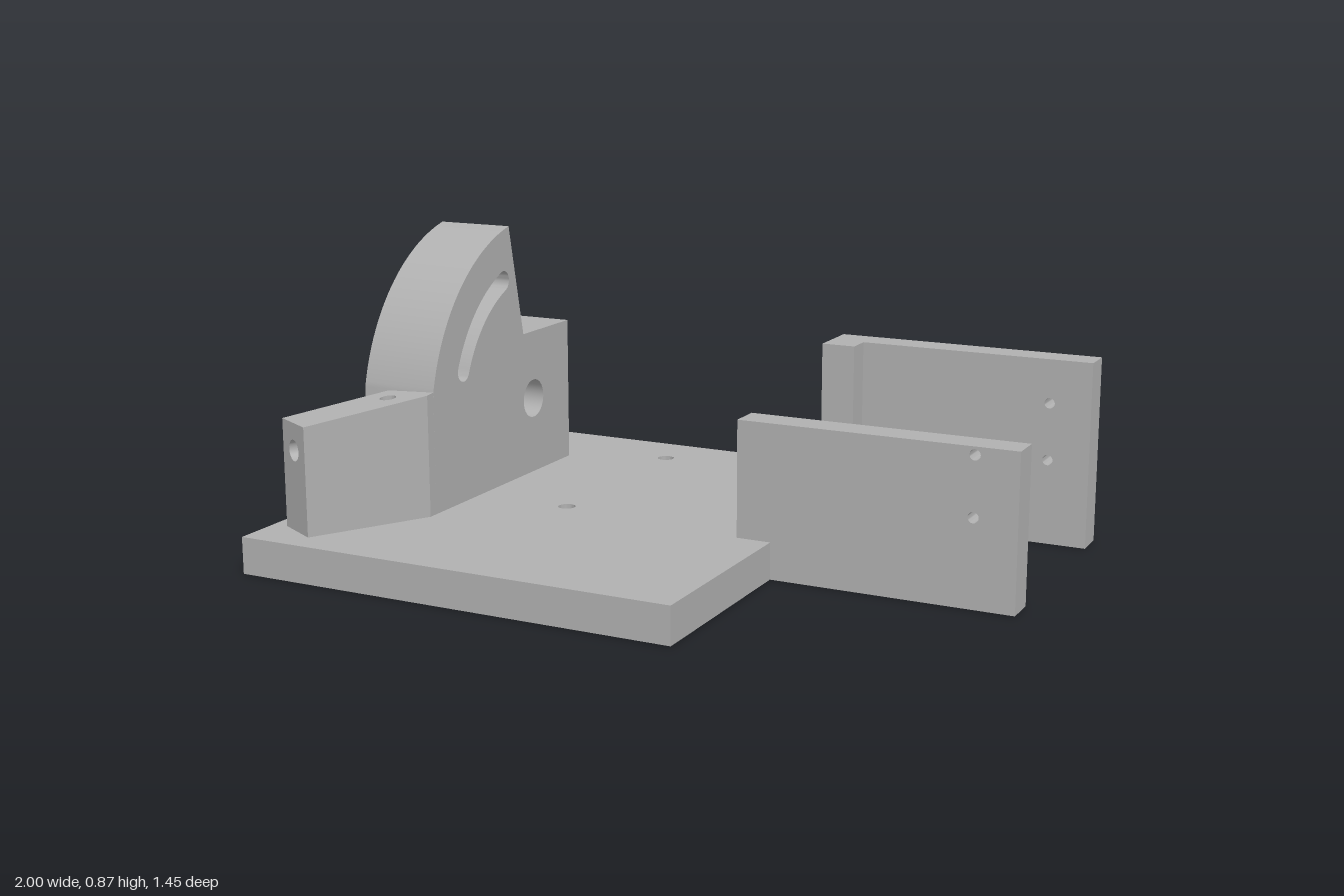
import * as THREE from 'three';
import { mergeGeometries, toCreasedNormals } from 'three/addons/utils/BufferGeometryUtils.js';

const DEG = Math.PI / 180;
const vec = (list) => list.map(([x, y]) => new THREE.Vector2(x, y));

// points along an arc, angles in degrees
function arc(cx, cy, r, from, to, n = 24) {
  return Array.from({ length: n + 1 }, (_, i) => {
    const a = (from + ((to - from) * i) / n) * DEG;
    return [cx + r * Math.cos(a), cy + r * Math.sin(a)];
  });
}
// clockwise circle, so that its wall faces inwards
const circle = (cx, cy, r) => arc(cx, cy, r, 360, 0, 32);

function shapeOf(outline, holes = []) {
  const shape = new THREE.Shape(vec(outline));
  shape.holes = holes.map((h) => new THREE.Path(vec(h)));
  return shape;
}

// flat face with holes
function panel(outline, holes, z = 0, flip = false) {
  const g = new THREE.ShapeGeometry(shapeOf(outline, holes)).translate(0, 0, z);
  if (flip) g.index.array.reverse();
  return g;
}

// wall that follows a path from depth z0 to z1
function wall(path, z0, z1) {
  const pos = [];
  for (let i = 0; i < path.length - 1; i++) {
    const [a, b] = [path[i], path[i + 1]];
    pos.push(...a, z0, ...b, z0, ...b, z1, ...a, z0, ...b, z1, ...a, z1);
  }
  const g = new THREE.BufferGeometry();
  g.setAttribute('position', new THREE.Float32BufferAttribute(pos, 3));
  return g;
}

const prism = (outline, holes, depth) =>
  new THREE.ExtrudeGeometry(shapeOf(outline, holes), { depth, bevelEnabled: false });
const layFlat = (g) => g.rotateX(-Math.PI / 2);
const rect = (x0, y0, x1, y1) => [[x0, y0], [x1, y0], [x1, y1], [x0, y1]];

// join faces into one mesh with sharp edges and smooth curves
function part(name, geometries, material) {
  const plain = geometries.map((g) => {
    const p = g.index ? g.toNonIndexed() : g;
    p.deleteAttribute('uv');
    p.deleteAttribute('normal');
    p.clearGroups();
    return p;
  });
  const mesh = new THREE.Mesh(toCreasedNormals(mergeGeometries(plain), 30 * DEG), material);
  mesh.name = name;
  return mesh;
}

export function createModel() {
  const model = new THREE.Group();
  model.name = 'pivotFixture';
  const grey = new THREE.MeshStandardMaterial({ color: 0xb0b0b0 });
  grey.name = 'plainGrey';
  const baseTop = 0.105;

  // base plate with four screw holes
  const screws = [];
  for (const x of [-0.775, -0.36]) for (const y of [0.56, -0.065]) screws.push(circle(x, y, 0.025));
  model.add(part('basePlate', [layFlat(prism(rect(-1, -0.725, 0.31, 0.728), screws, baseTop))], grey));

  // upright side plates, each with a mounting foot on the base
  const plates = [
    { name: 'backSidePlate', z: -0.62, height: 0.54, footZ: -0.53, footHeight: 0.435 },
    { name: 'frontSidePlate', z: 0.04, height: 0.435, footZ: -0.035, footHeight: 0.087 },
  ];
  for (const p of plates) {
    const outline = [[0.31, 0], [0.997, 0], [0.997, p.height], [0.21, p.height], [0.21, baseTop], [0.31, baseTop]];
    const holes = [circle(0.877, 0.413, 0.015), circle(0.877, 0.247, 0.015)];
    const sheet = prism(outline, holes, 0.092).translate(0, 0, p.z);
    const foot = new THREE.BoxGeometry(0.1, p.footHeight, 0.075);
    foot.translate(0.26, baseTop + p.footHeight / 2, p.footZ + 0.0375);
    model.add(part(p.name, [sheet, foot], grey));
  }

  // sector block: profile seen from its side, local depth 0 to width
  const width = 0.23, cx = 0.243, cy = 0.333;
  const profile = [
    [0.19, 0.54], ...arc(cx, cy, 0.556, 103, 167.5, 40),
    [-0.3, baseTop], [0.455, baseTop], [0.455, 0.54],
  ];
  const slot = [
    ...arc(cx, cy, 0.445, 112.5, 158),
    ...arc(cx + 0.415 * Math.cos(158 * DEG), cy + 0.415 * Math.sin(158 * DEG), 0.03, 158, 338, 12),
    ...arc(cx, cy, 0.385, 158, 112.5),
    ...arc(cx + 0.415 * Math.cos(112.5 * DEG), cy + 0.415 * Math.sin(112.5 * DEG), 0.03, -67.5, 112.5, 12),
  ].reverse();
  const bore = circle(cx, cy, 0.058);
  const setScrew = circle(cx, -0.115, 0.024);
  const block = part('sectorBlock', [
    wall(profile, 0, width),
    panel(profile, [bore], 0, true),
    panel(profile, [bore, slot], width),
    wall(bore, 0, width),
    wall(slot, 0.11, width),
    panel(slot, [], 0.11),
    layFlat(panel(rect(0.19, -width, 0.455, 0), [setScrew], 0.54)),
    layFlat(wall(setScrew, cy + 0.052, 0.54)),
  ], grey);
  block.rotation.y = Math.PI / 2;
  block.position.x = -0.88;
  model.add(block);

  // angled arm: footprint from above, with a top that falls towards its end
  const footprint = [[-0.835, -0.65], [-0.65, -0.33], [-0.65, -0.3], [-0.8, -0.3], [-0.955, -0.585]];
  const pin = circle(-0.757, -0.366, 0.023);
  const endHeight = 0.413;
  const slopeTop = (g) => {
    const p = g.attributes.position;
    for (let i = 0; i < p.count; i++) {
      if (p.getY(i) < 0.4) continue;
      const along = (p.getX(i) + 0.895) * 0.476 - (p.getZ(i) - 0.6175) * 0.88;
      p.setY(i, endHeight + 0.113 * along);
    }
    return g;
  };
  const armFaces = [
    wall(footprint, baseTop, endHeight),
    panel(footprint, [pin], endHeight),
    wall(pin, 0.32, endHeight),
  ].map((g) => slopeTop(layFlat(g)));

  // end face of the arm and the bore running along it
  const half = Math.hypot(0.12, 0.065) / 2;
  const armBore = circle(0, 0.335, 0.03);
  const endFaces = [
    panel(rect(-half, baseTop, half, endHeight), [armBore]),
    wall(armBore, -0.33, 0),
    panel(armBore, [], -0.33),
  ].map((g) => g.rotateY(-Math.atan2(0.065, 0.12)).translate(-0.895, 0, 0.6175));
  model.add(part('angledArm', [...armFaces, ...endFaces], grey));

  return model;
}
